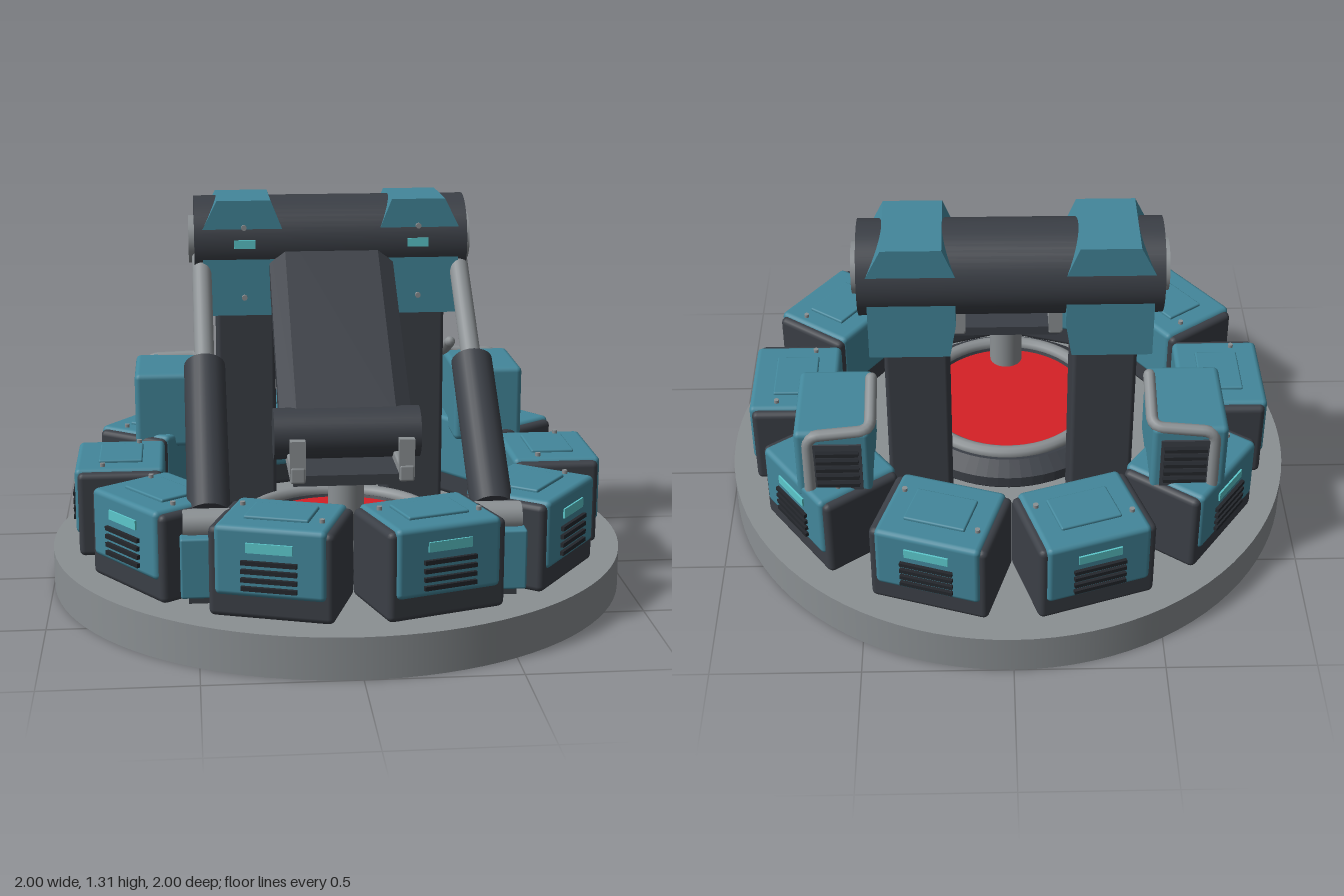
import * as THREE from 'three';
import { RoundedBoxGeometry } from 'three/addons/geometries/RoundedBoxGeometry.js';

const mat = (name, color) => Object.assign(new THREE.MeshStandardMaterial({ color }), { name });

export function createModel() {
  const teal = mat('teal paint', 0x43879b);
  const dark = mat('dark metal', 0x3b3f46);
  const black = mat('vent black', 0x24272c);
  const gray = mat('gray metal', 0x8b9093);
  const red = mat('red core', 0xd62026);
  const cyan = mat('cyan light', 0x5cc8cc);

  const model = new THREE.Group();
  model.name = 'hammerMachine';

  const add = (parent, name, geo, material, x = 0, y = 0, z = 0) => {
    const mesh = new THREE.Mesh(geo, material);
    mesh.name = name;
    mesh.position.set(x, y, z);
    parent.add(mesh);
    return mesh;
  };
  // Box given by its limits, with optional softened edges
  const box = (parent, name, material, [x0, x1], [y0, y1], [z0, z1], r = 0) => {
    const s = [x1 - x0, y1 - y0, z1 - z0];
    const geo = r ? new RoundedBoxGeometry(...s, 2, r) : new THREE.BoxGeometry(...s);
    return add(parent, name, geo, material, (x0 + x1) / 2, (y0 + y1) / 2, (z0 + z1) / 2);
  };
  const rod = (parent, name, material, a, b, r, sides = 24) => {
    const p = new THREE.Vector3(...a), q = new THREE.Vector3(...b);
    const d = q.clone().sub(p);
    const mesh = add(parent, name, new THREE.CylinderGeometry(r, r, d.length(), sides), material);
    mesh.position.copy(p).add(q).multiplyScalar(0.5);
    mesh.quaternion.setFromUnitVectors(new THREE.Vector3(0, 1, 0), d.normalize());
    return mesh;
  };
  const prism = (points, depth) => new THREE.ExtrudeGeometry(
    new THREE.Shape(points.map(p => new THREE.Vector2(...p))), { depth, bevelEnabled: false });

  // Base plate
  add(model, 'basePlate', new THREE.CylinderGeometry(1, 1, 0.14, 96), gray, 0, 0.07, 0);

  // Central anvil pit: dark dish, gray rim, red core
  const pit = new THREE.Group();
  pit.name = 'pit';
  pit.position.z = 0.14;
  model.add(pit);
  const dish = [[0.40, 0.14], [0.42, 0.16], [0.42, 0.2], [0.36, 0.235], [0.3, 0.235], [0.29, 0.21], [0, 0.21]];
  const dishGeo = new THREE.LatheGeometry(dish.map(p => new THREE.Vector2(...p)), 64).toNonIndexed();
  dishGeo.computeVertexNormals();
  add(pit, 'dish', dishGeo, dark);
  const rim = add(pit, 'rim', new THREE.TorusGeometry(0.325, 0.025, 10, 64), gray, 0, 0.24, 0);
  rim.rotation.x = Math.PI / 2;
  add(pit, 'core', new THREE.CylinderGeometry(0.295, 0.295, 0.008, 64), red, 0, 0.222, 0);

  // Ten power modules around the edge; local +x points outward
  for (let i = 0; i < 10; i++) {
    const m = new THREE.Group();
    m.name = 'module' + i;
    m.rotation.y = i * Math.PI / 5;
    model.add(m);
    box(m, 'moduleBody', dark, [0.61, 0.9], [0.145, 0.44], [-0.203, 0.203], 0.02);
    box(m, 'moduleShell', teal, [0.605, 0.91], [0.22, 0.45], [-0.18, 0.18], 0.018);
    box(m, 'topPanel', teal, [0.68, 0.83], [0.445, 0.46], [-0.105, 0.105], 0.006);
    box(m, 'statusLight', cyan, [0.9, 0.916], [0.368, 0.4], [-0.075, 0.075]);
    for (let k = 0; k < 4; k++) {
      const y = 0.245 + k * 0.028;
      box(m, 'ventSlat', black, [0.9, 0.922], [y, y + 0.014], [-0.09, 0.09]);
    }
    for (const s of [-1, 1])
      add(m, 'bolt', new THREE.CylinderGeometry(0.009, 0.009, 0.014, 10), gray, 0.755 + s * 0.06, 0.455, -s * 0.145);
  }

  // Main crossbeam with end caps
  const [by, bz] = [1.155, -0.335];
  rod(model, 'crossbeam', dark, [-0.485, by, bz], [0.485, by, bz], 0.155, 48);
  rod(model, 'beamCaps', gray, [-0.505, by, bz], [0.505, by, bz], 0.085, 32);

  for (const s of [-1, 1]) {
    const side = new THREE.Group();
    side.name = s > 0 ? 'leftSide' : 'rightSide';
    model.add(side);
    const span = (a, b) => s > 0 ? [a, b] : [-b, -a];

    // Support column and beam collar
    box(side, 'column', dark, span(0.2, 0.41), [0.14, 0.95], [-0.455, -0.215], 0.015);
    const collar = [[0.195, 0.9], [0.455, 0.9], [0.455, 1.21], [0.405, 1.31], [0.215, 1.31], [0.175, 1.21], [0.175, 1.02]];
    const pts = collar.map(([x, y]) => [x * s, y]);
    add(side, 'collar', prism(s > 0 ? pts : pts.reverse(), 0.29), teal, 0, 0, bz - 0.145);
    box(side, 'beamLight', cyan, span(0.27, 0.345), [1.142, 1.172], [-0.19, -0.172]);
    for (const y of [0.965, 1.215])
      rod(side, 'collarBolt', gray, [s * 0.31, y, -0.2], [s * 0.31, y, -0.177], 0.01, 10);

    // Piston, its foot and pedestal
    const px = s * 0.46;
    rod(side, 'pistonRod', gray, [px, 1.1, -0.255], [px, 0.76, 0.15], 0.034);
    rod(side, 'pistonSleeve', dark, [px, 0.79, 0.115], [px, 0.405, 0.573], 0.07);
    rod(side, 'pistonPivot', gray, [px - 0.085, 0.39, 0.62], [px + 0.085, 0.39, 0.62], 0.05);
    box(side, 'pedestalBody', dark, span(0.36, 0.53), [0.14, 0.37], [0.52, 0.67]);
    box(side, 'pedestal', teal, span(0.37, 0.555), [0.17, 0.37], [0.65, 0.71], 0.008);

    // Rear generator box with grille
    box(side, 'generator', teal, span(0.46, 0.71), [0.4, 0.675], [-0.59, -0.25], 0.02);
    box(side, 'grille', dark, span(0.49, 0.65), [0.44, 0.63], [-0.597, -0.585]);
    for (let k = 0; k < 5; k++) {
      const y = 0.465 + k * 0.032;
      box(side, 'grilleSlat', black, span(0.5, 0.64), [y, y + 0.014], [-0.614, -0.59]);
    }
    // Bent exhaust pipe around the generator
    const path = new THREE.CurvePath();
    const c = [[0.46, 0.745, -0.39], [0.46, 0.67, -0.57], [0.665, 0.66, -0.585], [0.665, 0.38, -0.595]]
      .map(([x, y, z]) => new THREE.Vector3(s * x, y, z));
    let from = c[0];
    for (const i of [1, 2]) {
      const p = c[i].clone().lerp(c[i - 1], 0.04 / c[i].distanceTo(c[i - 1]));
      const q = c[i].clone().lerp(c[i + 1], 0.04 / c[i].distanceTo(c[i + 1]));
      path.add(new THREE.LineCurve3(from, p));
      path.add(new THREE.QuadraticBezierCurve3(p, c[i], q));
      from = q;
    }
    path.add(new THREE.LineCurve3(from, c[3]));
    add(side, 'pipe', new THREE.TubeGeometry(path, 48, 0.02, 10), gray);
    for (const p of [c[0], c[3]])
      add(side, 'pipeEnd', new THREE.SphereGeometry(0.02, 10, 8), gray, p.x, p.y, p.z);

    // Anvil carriage rail with upright stops
    box(side, 'rail', gray, span(0.15, 0.2), [0.515, 0.57], [0.15, 0.625], 0.008);
    box(side, 'frontStop', gray, span(0.15, 0.2), [0.53, 0.655], [0.592, 0.622]);
    box(side, 'rearStop', gray, span(0.15, 0.2), [0.53, 0.63], [0.15, 0.18]);
  }

  // Carriage plate and post
  box(model, 'carriagePlate', dark, [-0.19, 0.19], [0.505, 0.54], [0.16, 0.615]);
  rod(model, 'carriagePost', gray, [0, 0.2, 0.39], [0, 0.51, 0.39], 0.06);

  // Swinging arm with chamfered section, and its roller head
  const arm = new THREE.Group();
  arm.name = 'arm';
  arm.position.set(0, by, bz);
  arm.rotation.x = Math.atan2(by - 0.62, 0.39 - bz);
  model.add(arm);
  const section = [[-0.22, -0.03], [-0.165, -0.07], [0.165, -0.07], [0.22, -0.03],
    [0.22, 0.03], [0.165, 0.07], [-0.165, 0.07], [-0.22, 0.03]];
  add(arm, 'armBeam', prism(section, 0.9), dark);
  rod(model, 'rollerHead', dark, [-0.242, 0.62, 0.39], [0.242, 0.62, 0.39], 0.085, 32);

  return model;
}
